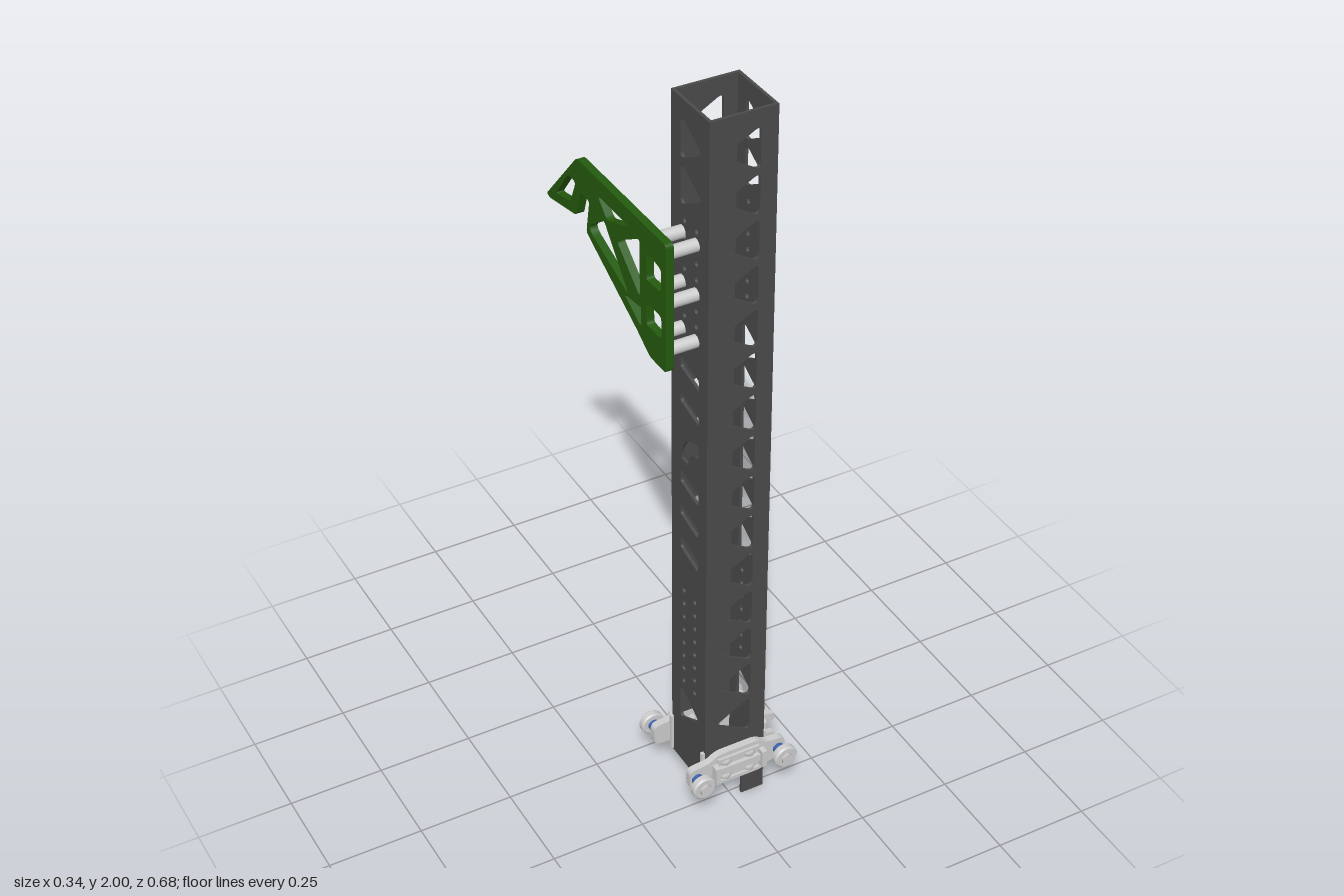
import * as THREE from 'three';

const mat = (color) => new THREE.MeshStandardMaterial({ color });
const DARK = mat(0x4a4a4a), GREEN = mat(0x245a0e), BLUE = mat(0x3a62b0), GREY = mat(0xcccccc);
const CZ = 0.187; // depth of the mast axis

// Closed outline with every corner rounded by r
function rounded(points, r, Type = THREE.Path) {
  const path = new Type();
  const v = points.map(p => new THREE.Vector2(p[0], p[1]));
  v.forEach((p, i) => {
    const toward = (q) => {
      const d = q.clone().sub(p);
      return p.clone().add(d.setLength(Math.min(r, d.length() * 0.45)));
    };
    const a = toward(v[(i + v.length - 1) % v.length]), b = toward(v[(i + 1) % v.length]);
    if (i === 0) path.moveTo(a.x, a.y); else path.lineTo(a.x, a.y);
    path.quadraticCurveTo(p.x, p.y, b.x, b.y);
  });
  path.closePath();
  return path;
}

function polygon(points, holes = []) {
  const s = new THREE.Shape(points.map(p => new THREE.Vector2(p[0], p[1])));
  s.holes.push(...holes);
  return s;
}

const circle = (x, y, r) => new THREE.Path().absarc(x, y, r, 0, Math.PI * 2, true);

const extrude = (shape, depth) =>
  new THREE.ExtrudeGeometry(shape, { depth, bevelEnabled: false, curveSegments: 5 });

// Extrusion of a (z, y) outline, filling x0 - depth .. x0
const sideExtrude = (shape, depth, x0) =>
  extrude(shape, depth).rotateY(-Math.PI / 2).translate(x0, 0, 0);

function add(parent, name, geometry, material, x = 0, y = 0, z = 0) {
  const m = new THREE.Mesh(geometry, material);
  m.name = name;
  m.position.set(x, y, z);
  parent.add(m);
  return m;
}

const box = (w, h, d) => new THREE.BoxGeometry(w, h, d);
const rodZ = (r, len, n = 24) => new THREE.CylinderGeometry(r, r, len, n).rotateX(Math.PI / 2);
const rodX = (r, len, n = 24) => new THREE.CylinderGeometry(r, r, len, n).rotateZ(Math.PI / 2);

// Lightening triangle; dir is the side its point faces
const triangle = (cx, cy, dir) => rounded(
  [[cx + dir * 0.056, cy], [cx - dir * 0.042, cy + 0.056], [cx - dir * 0.042, cy - 0.056]], 0.02);

function createMast() {
  const g = new THREE.Group();
  g.name = 'mast';
  const x0 = -0.082, x1 = 0.089, t = 0.008, z0 = 0.102, z1 = 0.272;
  const level = (i) => 1.904 - i * 0.117;

  // Front and back walls, notched at the foot
  const face = polygon([[x0, 0.068], [0.026, 0.068], [0.026, 0], [x1, 0], [x1, 2], [x0, 2]],
    Array.from({ length: 15 }, (_, i) => triangle(0.004, level(i), -1)));
  add(g, 'frontWall', extrude(face, t), DARK, 0, 0, z1 - t);
  add(g, 'backWall', extrude(face, t), DARK, 0, 0, z0);

  // Side walls: triangles and two fields of bolt holes
  const sideHoles = (rows) => {
    const holes = rows.map(i => triangle(CZ, level(i), 1));
    for (const top of [1.7, 0.64])
      for (let k = 0; k < 8; k++)
        for (const z of [0.163, 0.217]) holes.push(circle(z, top - k * 0.042, 0.008));
    return holes;
  };
  const wall = (bottom, holes) =>
    polygon([[z0 + t, bottom], [z1 - t, bottom], [z1 - t, 2], [z0 + t, 2]], holes);
  add(g, 'leftWall', sideExtrude(wall(0, sideHoles([0, 1, 5, 6, 7, 8, 9, 10, 14])), t, x1), DARK);

  // Right wall has slots and one curved opening in the middle
  const slots = [[1.3, 0.03], [1.2, 0.025], [0.97, 0.035], [0.87, 0.03], [0.77, 0.035]].map(([y, h]) =>
    rounded([[0.145, y + h / 2 + 0.012], [0.232, y + h / 2 - 0.008],
      [0.232, y - h / 2 - 0.008], [0.145, y - h / 2 + 0.012]], 0.008));
  const arc = new THREE.Path();
  arc.absarc(0.232, 1.035, 0.085, Math.PI / 2, Math.PI, false);
  arc.absarc(0.232, 1.035, 0.05, Math.PI, Math.PI / 2, true);
  arc.closePath();
  add(g, 'rightWall', sideExtrude(wall(0.068, [...sideHoles([0, 1, 14]), ...slots, arc]), t, x0 + t), DARK);
  return g;
}

function createHookPlate() {
  const g = new THREE.Group();
  g.name = 'hookPlate';
  // Outline in (z, y) with a rounded slot behind the hook
  const outline = rounded([[0.242, 1.704], [-0.183, 1.704], [-0.345, 1.525], [-0.325, 1.522],
    [-0.19, 1.548], [-0.165, 1.622], [-0.122, 1.622], [-0.14, 1.53], [-0.125, 1.522],
    [0.105, 1.402], [0.165, 1.365], [0.242, 1.365]], 0.012, THREE.Shape);
  outline.holes.push(...[
    [[0.075, 1.66], [-0.08, 1.66], [-0.035, 1.618]],
    [[0.12, 1.655], [0.01, 1.59], [0.12, 1.5]],
    [[-0.05, 1.61], [-0.125, 1.555], [-0.115, 1.54], [0.065, 1.475]],
    [[0.125, 1.475], [0.045, 1.465], [0.125, 1.42]],
    [[-0.19, 1.635], [-0.225, 1.64], [-0.295, 1.552], [-0.22, 1.568]],
    [[0.22, 1.63], [0.15, 1.64], [0.15, 1.565], [0.22, 1.57]],
    [[0.22, 1.505], [0.15, 1.505], [0.15, 1.445], [0.22, 1.445]],
  ].map(h => rounded(h, 0.012)));
  add(g, 'plate', sideExtrude(outline, 0.02, -0.152), GREEN);

  for (const y of [1.666, 1.536, 1.41])
    for (const z of [0.153, 0.217])
      add(g, 'standoff', rodX(0.016, 0.072), GREY, -0.117, y, z);
  return g;
}

// Roller carriage, built outward along +z from the mast wall
function createCarriage() {
  const g = new THREE.Group();
  g.name = 'rollerCarriage';
  const y = 0.13, cx = 0.003;
  const body = rounded([[-0.135, 0.1], [-0.08, 0.096], [-0.07, 0.08], [0.076, 0.08], [0.086, 0.096],
    [0.141, 0.1], [0.141, 0.16], [0.086, 0.164], [0.06, 0.182], [-0.054, 0.182],
    [-0.08, 0.164], [-0.135, 0.16]], 0.018, THREE.Shape);
  add(g, 'carriagePlate', extrude(body, 0.02), GREY, 0, 0, 0.084);
  add(g, 'clampPad', box(0.186, 0.11, 0.01), GREY, cx, y, 0.08);

  // Raised frame with ribs and end tabs
  add(g, 'rail', box(0.145, 0.022, 0.011), GREY, cx, y, 0.109);
  for (const s of [-1, 1]) {
    add(g, 'endTab', box(0.014, 0.05, 0.022), GREY, cx + s * 0.067, y, 0.114);
    add(g, 'frameEdge', box(0.12, 0.008, 0.008), GREY, cx, y + s * 0.036, 0.107);

    // Through bolt with inner nut, in pairs above and below the rail
    for (const dy of [-0.024, 0.024])
      add(g, 'boltHead', new THREE.SphereGeometry(0.015, 16, 6, 0, Math.PI * 2, 0, Math.PI / 2)
        .scale(1, 0.7, 1).rotateX(Math.PI / 2), GREY, cx + s * 0.034, y + dy, 0.103);
    for (const dy of [-0.024, 0.024]) {
      add(g, 'nut', rodZ(0.017, 0.018, 6), GREY, cx + s * 0.034, y + dy, 0.068);
      add(g, 'boltTip', rodZ(0.009, 0.01, 12), GREY, cx + s * 0.034, y + dy, 0.056);
    }

    // Roller on a blue spacer
    const wx = cx + s * 0.118;
    add(g, 'spacer', rodZ(0.015, 0.022), BLUE, wx, y, 0.114);
    const wheel = new THREE.LatheGeometry([[0, -0.011], [0.028, -0.011], [0.032, -0.007], [0.032, 0.007],
      [0.028, 0.011], [0, 0.011]].map(p => new THREE.Vector2(...p)), 28).rotateX(Math.PI / 2).toNonIndexed();
    wheel.computeVertexNormals();
    add(g, 'roller', wheel, GREY, wx, y, 0.136);
    add(g, 'axleCap', rodZ(0.016, 0.008, 6), GREY, wx, y, 0.15);
  }
  return g;
}

function createSideBracket() {
  const g = new THREE.Group();
  g.name = 'sideBracket';
  // Mounting plate with four bolt holes
  const corners = [];
  for (const z of [0.143, 0.231]) for (const y of [0.048, 0.174]) corners.push(circle(z, y, 0.009));
  const plate = rounded([[0.122, 0.028], [0.25, 0.028], [0.25, 0.194], [0.122, 0.194]], 0.01, THREE.Shape);
  plate.holes.push(...corners);
  add(g, 'mountPlate', sideExtrude(plate, 0.02, 0.109), GREY);

  // Upright rib ending in two prongs
  const rib = polygon([[0.105, 0.03], [0.135, 0.062], [0.168, 0.068], [0.168, 0.085], [0.142, 0.092],
    [0.142, 0.12], [0.168, 0.132], [0.168, 0.15], [0.135, 0.157], [0.105, 0.188]]);
  add(g, 'rib', extrude(rib, 0.016), GREY, 0, 0, CZ - 0.009);

  // Horizontal gussets; outline in (x, -z) laid flat
  const gusset = polygon([[0.105, -0.245], [0.14, -0.193], [0.14, -0.177], [0.105, -0.125]]);
  for (const y of [0.07, 0.13])
    add(g, 'gusset', extrude(gusset, 0.012).rotateX(-Math.PI / 2), GREY, 0, y, 0);
  return g;
}

export function createModel() {
  const model = new THREE.Group();
  model.name = 'rollerMast';
  model.add(createMast(), createHookPlate(), createSideBracket());
  const front = createCarriage();
  front.position.z = CZ;
  const back = createCarriage();
  back.rotation.y = Math.PI;
  back.position.set(0.006, 0, CZ);
  model.add(front, back);
  return model;
}
